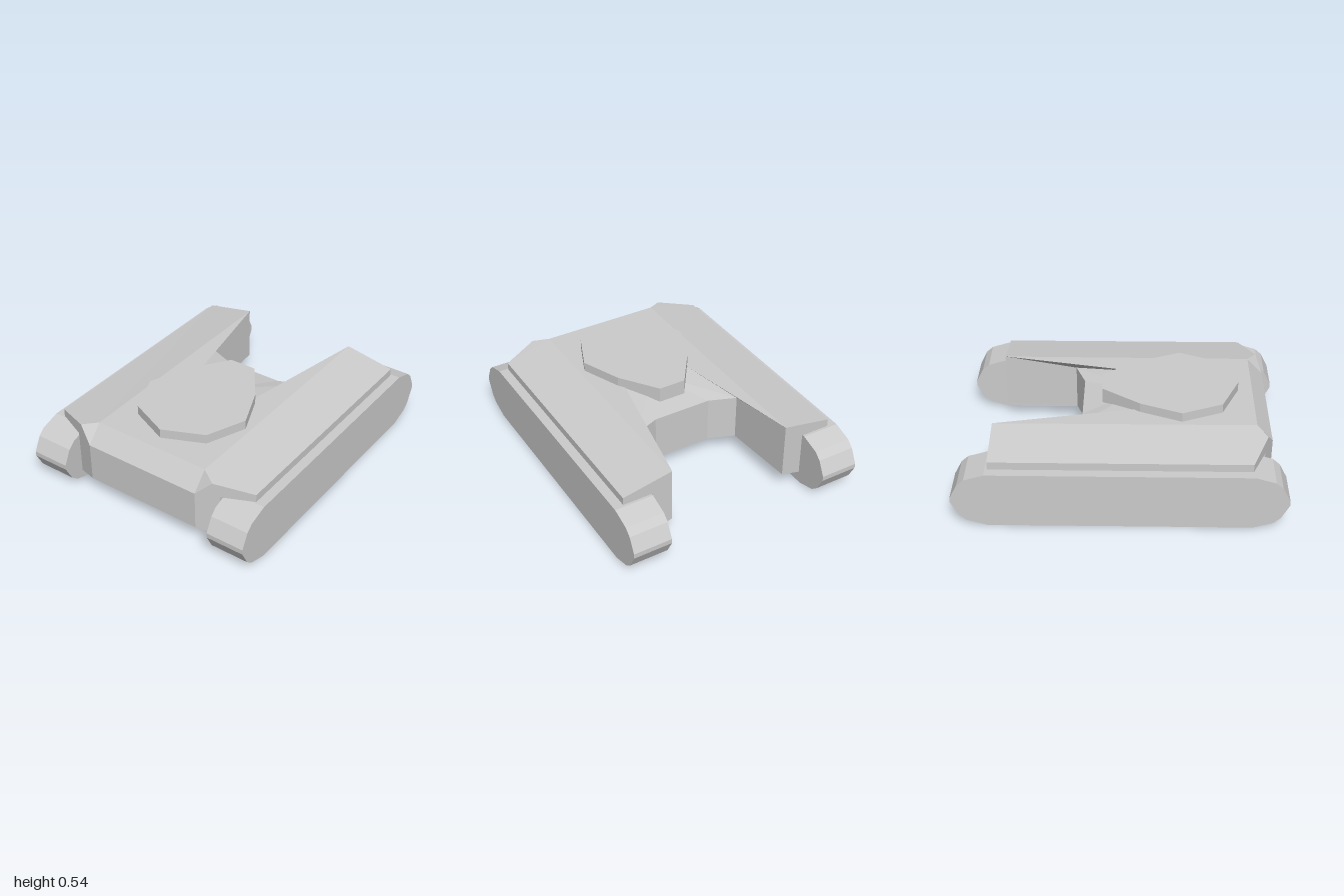
import * as THREE from 'three';

const material = new THREE.MeshStandardMaterial({ color: 0xcccccc, flatShading: true });

function part(name, geometry) {
  const mesh = new THREE.Mesh(geometry, material);
  mesh.name = name;
  return mesh;
}

// Corners of the +z half of the hull; names ending in 0 lie on the centre line
const P = {
  rear: [-0.92, 0.365, 0.39], rear0: [-0.92, 0.365, 0],
  rearLow: [-0.92, 0.115, 0.39], rearLow0: [-0.92, 0.115, 0],
  deck: [-0.82, 0.475, 0.39], deck0: [-0.82, 0.475, 0],
  chamfer: [-0.88, 0.456, 0.485],
  fenderRear: [-0.78, 0.415, 0.715], fenderRearLow: [-0.78, 0.365, 0.715],
  fenderTip: [0.775, 0.415, 0.715], fenderTipLow: [0.775, 0.365, 0.715],
  tip: [0.775, 0.475, 0.395], tipLow: [0.775, 0.115, 0.395],
  bend: [0.305, 0.415, 0.36], bendLow: [0.305, 0.115, 0.36],
  notch: [0.24, 0.415, 0.19], notchLow: [0.24, 0.115, 0.19],
  notch0: [0.24, 0.415, 0], notchLow0: [0.24, 0.115, 0],
  ridge: [-0.11, 0.475, 0.22], ridge0: [-0.11, 0.475, 0],
  wallTip: [0.775, 0.365, 0.525], wallTipLow: [0.775, 0.08, 0.525],
  wallRear: [-0.863, 0.365, 0.525], wallRearLow: [-0.863, 0.08, 0.525],
};

const hullFaces = [
  // deck, with a slope down to the notch
  'deck0 deck ridge ridge0', 'deck tip ridge', 'ridge tip bend',
  'ridge0 ridge bend notch notch0',
  // fender top, edge and underside
  'deck chamfer fenderRear fenderTip tip',
  'fenderRear fenderRearLow fenderTipLow fenderTip',
  'wallRear wallTip fenderTipLow fenderRearLow',
  // rear plate, bevel and chamfered corner
  'rear0 rear deck deck0', 'rear chamfer deck', 'rear0 rearLow0 rearLow rear',
  'chamfer rear wallRear fenderRearLow fenderRear', 'rear rearLow wallRearLow wallRear',
  // wall beside the track and belly
  'wallRear wallRearLow wallTipLow wallTip', 'rearLow tipLow wallTipLow wallRearLow',
  'rearLow rearLow0 notchLow0 notchLow bendLow tipLow',
  // prong end and notch walls
  'tip fenderTip fenderTipLow wallTip wallTipLow tipLow',
  'bend tip tipLow bendLow', 'notch bend bendLow notchLow',
  'notch0 notch notchLow notchLow0',
];

// Fan each face into triangles and mirror it across z = 0
function hullGeometry() {
  const positions = [];
  for (const face of hullFaces) {
    const c = face.split(' ').map((key) => P[key]);
    for (let i = 1; i < c.length - 1; i++) {
      positions.push(...c[0], ...c[i], ...c[i + 1]);
      for (const [x, y, z] of [c[0], c[i + 1], c[i]]) positions.push(x, y, -z);
    }
  }
  const geometry = new THREE.BufferGeometry();
  geometry.setAttribute('position', new THREE.Float32BufferAttribute(positions, 3));
  geometry.computeVertexNormals();
  return geometry;
}

function extrude(points, depth) {
  const shape = new THREE.Shape(points.map(([x, y]) => new THREE.Vector2(x, y)));
  return new THREE.ExtrudeGeometry(shape, { depth, bevelEnabled: false });
}

export function createModel() {
  const model = new THREE.Group();
  model.name = 'trackedVehicle';
  model.add(part('hull', hullGeometry()));

  // Tracks: faceted rounded slabs along both sides
  const end = [[0.79, 0], [0.91, 0.037], [0.953, 0.075], [1, 0.167], [1, 0.198],
    [0.953, 0.29], [0.91, 0.328], [0.79, 0.365]];
  const outline = [...end, ...end.map(([x, y]) => [-x, y]).reverse()];
  for (const [name, z] of [['leftTrack', 0.53], ['rightTrack', -0.775]]) {
    const track = part(name, extrude(outline, 0.245));
    track.position.z = z;
    model.add(track);
  }

  // Low turret plate sunk into the deck
  const side = [[-0.62, 0.255], [-0.37, 0.36], [-0.115, 0.255], [0.12, 0.088]];
  const plate = [[-0.73, 0], ...side, ...side.map(([x, z]) => [x, -z]).reverse()];
  const turret = part('turret', extrude(plate, 0.125).rotateX(-Math.PI / 2));
  turret.position.y = 0.41;
  model.add(turret);

  return model;
}
